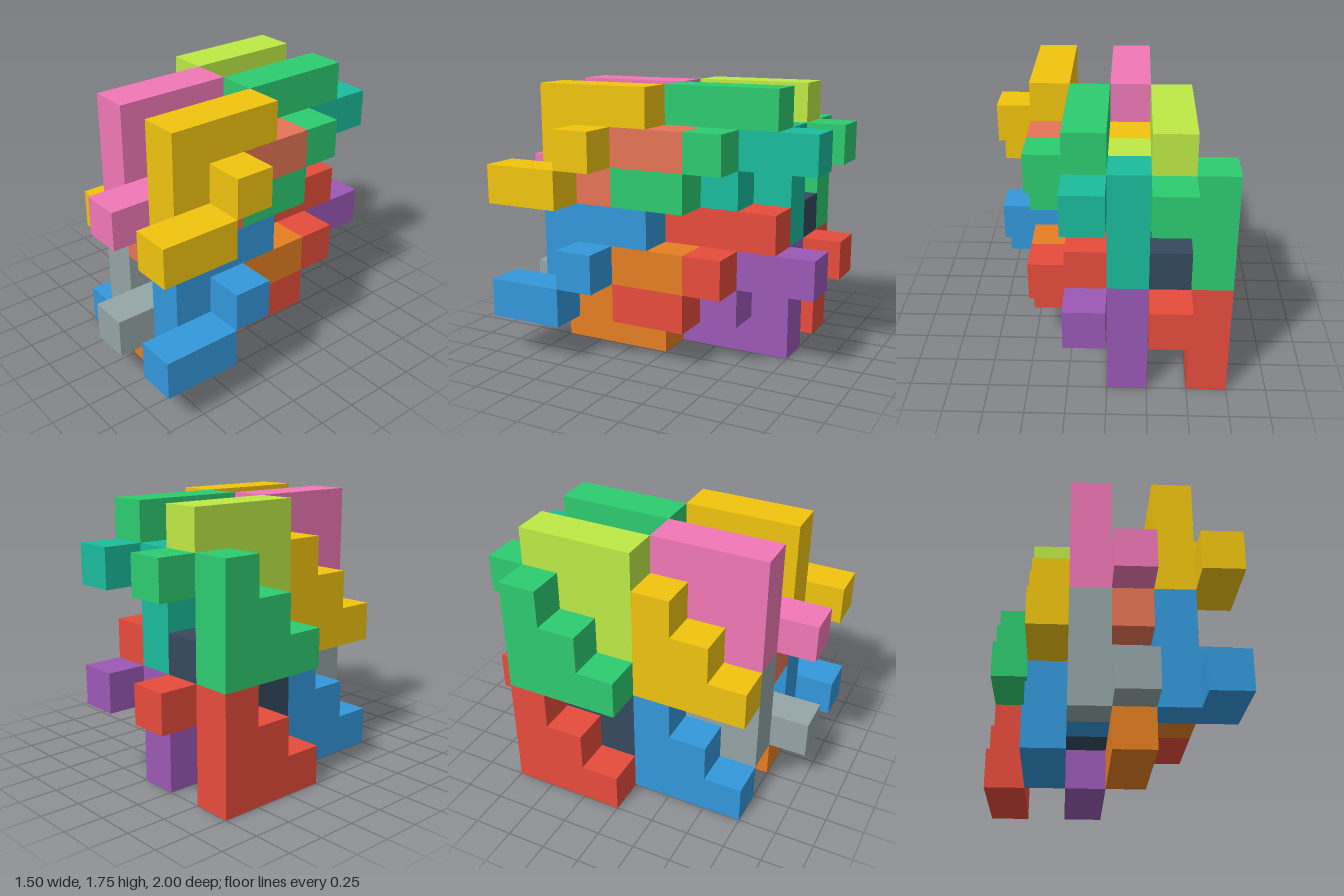
import * as THREE from 'three';

const U = 0.25; // edge of one cube cell

// Staircase slab, one cell thick along x, centred on y and z
function stairGeometry() {
  const steps = [[0, 0], [3, 0], [3, 1], [2, 1], [2, 2], [1, 2], [1, 3], [0, 3]];
  const shape = new THREE.Shape(steps.map(([z, y]) => new THREE.Vector2((z - 1.5) * U, (y - 1.5) * U)));
  const geo = new THREE.ExtrudeGeometry(shape, { depth: U, bevelEnabled: false });
  return geo.rotateY(-Math.PI / 2).translate(U, 0, 0);
}

const stair = stairGeometry();
// Studs on the +x side of the slab: a single cell and a two-cell bar
const peg = new THREE.BoxGeometry(U, U, U).translate(1.5 * U, 0, 0);
const bar = new THREE.BoxGeometry(U, U, 2 * U).translate(1.5 * U, U, -1.5 * U);

function makePiece(name, color) {
  const piece = new THREE.Group();
  piece.name = name;
  const material = new THREE.MeshStandardMaterial({ color });
  for (const [part, geo] of [['stair', stair], ['peg', peg], ['bar', bar]]) {
    const mesh = new THREE.Mesh(geo, material);
    mesh.name = part;
    piece.add(mesh);
  }
  return piece;
}

// Rows of interlocking pieces: first column, layer and depth cell, then colours along +x
const rows = [
  { name: 'lowerBack', i: 0, j: 0, k: 1, colors: [0xe74c3c, 0x34495e, 0x9b59b6, 0xe74c3c] },
  { name: 'lowerFront', i: 1, j: 0, k: 4, colors: [0x3498db, 0x95a5a6, 0xe67e22, 0x3498db] },
  { name: 'upperBack', i: 0, j: 3, k: 1, colors: [0x2ecc71, 0xbeea46, 0x1abc9c, 0x2ecc71] },
  { name: 'upperFront', i: 1, j: 3, k: 4, colors: [0xf1c40f, 0xf178b6, 0xe67556, 0xf1c40f] },
];

export function createModel() {
  const model = new THREE.Group();
  model.name = 'interlockingBlocks';
  for (const { name, i, j, k, colors } of rows) {
    colors.forEach((color, n) => {
      const piece = makePiece(`${name}Piece${n + 1}`, color);
      // Every second piece is turned over and sits one cell higher
      const flipped = n % 2;
      piece.rotation.x = flipped * Math.PI;
      piece.position.set((i + n - 3) * U, (j + flipped + 1.5) * U, (k + 1.5 - 4) * U);
      model.add(piece);
    });
  }
  return model;
}
